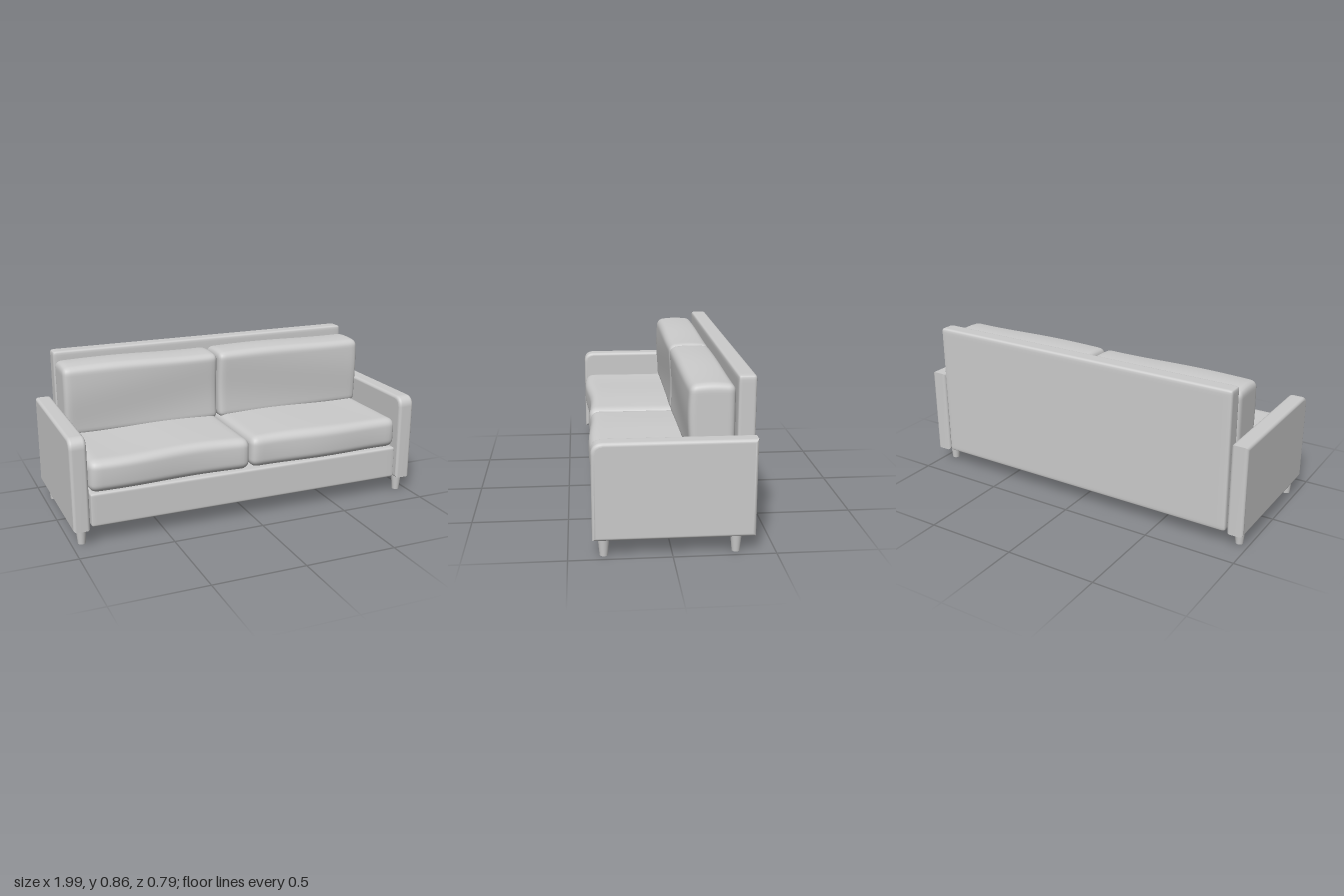
import * as THREE from 'three';
import { mergeVertices } from 'three/addons/utils/BufferGeometryUtils.js';

const material = new THREE.MeshStandardMaterial({ color: 0xcccccc });

// Rounded, smoothly shaded block given by its min and max corners; an optional rule moves the surface
function softBlock(name, min, max, radius, deform) {
  const lo = new THREE.Vector3(...min), hi = new THREE.Vector3(...max);
  const half = hi.clone().sub(lo).multiplyScalar(0.5);
  const centre = hi.clone().add(lo).multiplyScalar(0.5);
  let geo = new THREE.BoxGeometry(2, 2, 2, 28, 28, 28);
  geo.deleteAttribute('uv');
  geo.deleteAttribute('normal');
  geo = mergeVertices(geo);
  const pos = geo.attributes.position;
  const inner = half.clone().subScalar(radius);
  const v = new THREE.Vector3(), core = new THREE.Vector3();
  // Crowd the grid lines towards the edges, where the rounding happens
  const spread = (t) => Math.sin(t * Math.PI / 2);
  for (let i = 0; i < pos.count; i++) {
    v.fromBufferAttribute(pos, i);
    v.set(spread(v.x), spread(v.y), spread(v.z)).multiply(half);
    core.copy(v).clamp(inner.clone().negate(), inner);
    v.sub(core).normalize().multiplyScalar(radius).add(core);
    if (deform) deform(v, v.clone().divide(half));
    v.add(centre);
    pos.setXYZ(i, v.x, v.y, v.z);
  }
  geo.computeVertexNormals();
  const mesh = new THREE.Mesh(geo, material);
  mesh.name = name;
  return mesh;
}

// Arm: side profile with a large front top corner, extruded across and softly bevelled
function arm(name, x, front, top) {
  const b = 0.018, z0 = -0.4 + b, z1 = front - b, y0 = 0.088 + b, y1 = top - b, r = 0.04;
  const s = new THREE.Shape();
  s.moveTo(z0, y0);
  s.lineTo(z1, y0);
  s.lineTo(z1, y1 - r);
  s.quadraticCurveTo(z1, y1, z1 - r, y1);
  s.lineTo(z0, y1);
  s.closePath();
  const depth = 0.09 - 2 * b;
  let geo = new THREE.ExtrudeGeometry(s, {
    depth, bevelEnabled: true, bevelSize: b, bevelThickness: b, bevelSegments: 5, curveSegments: 10,
  });
  geo.translate(0, 0, -depth / 2);
  geo.rotateY(-Math.PI / 2); // profile x becomes z
  geo.translate(x, 0, 0);
  geo.deleteAttribute('uv');
  // Smooth only across shallow angles
  geo = smoothByAngle(geo, 0.6);
  const mesh = new THREE.Mesh(geo, material);
  mesh.name = name;
  return mesh;
}

// Average face normals at shared points when they differ by less than the given angle
function smoothByAngle(source, angle) {
  const geo = source.index ? source.toNonIndexed() : source;
  const p = geo.attributes.position, faces = new Map(), normals = [];
  const key = (i) => [p.getX(i), p.getY(i), p.getZ(i)].map((n) => Math.round(n * 1e4)).join();
  for (let i = 0; i < p.count; i += 3) {
    const [a, b, c] = [0, 1, 2].map((k) => new THREE.Vector3().fromBufferAttribute(p, i + k));
    const n = b.sub(a).cross(c.sub(a));
    normals.push(n);
    for (let k = 0; k < 3; k++) {
      if (!faces.has(key(i + k))) faces.set(key(i + k), []);
      faces.get(key(i + k)).push(n);
    }
  }
  for (let i = 0; i < p.count; i++) {
    const own = normals[Math.floor(i / 3)], sum = new THREE.Vector3();
    for (const n of faces.get(key(i))) if (n.angleTo(own) < angle) sum.add(n);
    sum.normalize();
    geo.attributes.normal.setXYZ(i, sum.x, sum.y, sum.z);
  }
  return geo;
}

export function createModel() {
  const sofa = new THREE.Group();
  sofa.name = 'sofa';

  // Frame: base box and tall back panel
  sofa.add(softBlock('base', [-0.897, 0.094, -0.33], [0.897, 0.275, 0.37], 0.012));
  sofa.add(softBlock('backPanel', [-0.9, 0.092, -0.402], [0.9, 0.855, -0.312], 0.016));

  // Arms, the right one a touch fuller
  sofa.add(arm('leftArm', 0.951, 0.383, 0.573));
  sofa.add(arm('rightArm', -0.953, 0.391, 0.582));

  for (const side of [1, -1]) {
    const label = side > 0 ? 'left' : 'right';
    const x0 = side > 0 ? -0.006 : -0.9, x1 = side > 0 ? 0.896 : -0.016;

    // Seat cushion: bulging front with a wavy edge and a slightly sagging top
    sofa.add(softBlock(`${label}SeatCushion`, [x0, 0.276, -0.3], [x1, 0.452, 0.372], 0.045, (v, u) => {
      const frontness = Math.max(0, u.z) ** 3;
      const wave = side > 0
        ? 0.008 * Math.cos(u.x * 4)
        : 0.013 * Math.cos((u.x + 0.65) * 3);
      v.z += frontness * (wave + 0.006 * (1 - u.y * u.y));
      if (u.y > 0) v.y += 0.006 * u.y * Math.cos(u.x * 3.2 + side) * (1 - 0.5 * u.z * u.z);
    }));

    // Back cushion: gently crowned top and a soft front
    sofa.add(softBlock(`${label}BackCushion`, [x0, 0.43, -0.306], [x1, 0.81, -0.084], 0.034, (v, u) => {
      if (u.y > 0) v.y += u.y ** 4 * 0.011 * (1 - u.z * u.z) + u.y ** 4 * 0.004 * Math.cos(u.x * 3 + 1);
      if (u.z > 0) v.z += u.z * 0.005 * Math.sin(u.y * 2.6 + u.x * side);
    }));

    // Tapered round legs under each arm
    for (const [z, end] of [[0.328, 'front'], [-0.309, 'back']]) {
      const leg = new THREE.Mesh(new THREE.CylinderGeometry(0.029, 0.02, 0.095, 24), material);
      leg.position.set(side * 0.945, 0.0475, z);
      leg.name = `${label}${end === 'front' ? 'Front' : 'Back'}Leg`;
      sofa.add(leg);
    }
  }
  return sofa;
}
